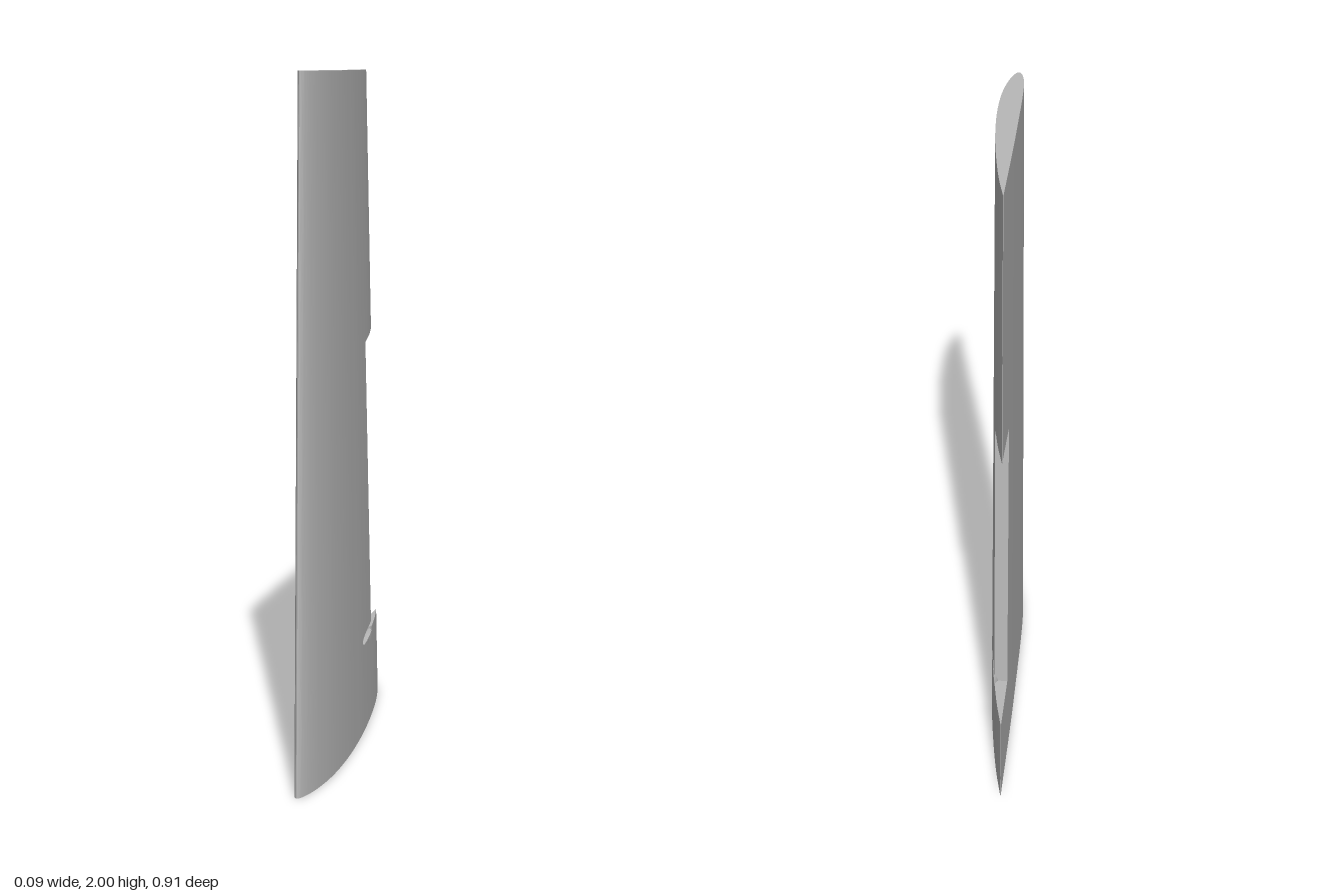
import * as THREE from 'three';
import { mergeGeometries, toCreasedNormals } from 'three/addons/utils/BufferGeometryUtils.js';

// Airfoil profile: chord fraction, then the x of each side at the root
const CHORD = [0, 0.0165, 0.05, 0.1, 0.2, 0.3, 0.4, 0.5, 0.6, 0.775, 0.9, 1];
const CURVED = [0, 0.013, 0.024, 0.034, 0.044, 0.0455, 0.042, 0.0345, 0.0245, 0, -0.022, -0.0445];
const FLAT = [0, -0.012, -0.021, -0.028, -0.033, -0.036, -0.038, -0.04, -0.042, -0.044, -0.045, -0.046];
const knots = Float32Array.from(CHORD, Math.sqrt);
const curved = new THREE.CubicInterpolant(knots, new Float32Array(CURVED), 1);
const flat = new THREE.CubicInterpolant(knots, new Float32Array(FLAT), 1);

// Planform lines
const leadZ = (y) => 0.455 - 0.0275 * y;
const trailZ = (y) => -0.453 + 0.0865 * y;
const hingeZ = (y) => -0.268 + 0.082 * y;
const NOTCH_LOW = 0.285, NOTCH_HIGH = 1.2, SPAN = 2;

// Cable groove running fore and aft through the curved skin
const GROOVE = { x: 0.005, y: 0.288, r: 0.018 };

function skinX(y, z, side) {
  const chord = leadZ(y) - trailZ(y);
  const t = THREE.MathUtils.clamp((leadZ(y) - z) / chord, 0, 1);
  const x = (side > 0 ? curved : flat).evaluate(Math.sqrt(t))[0] * chord / 0.908;
  const dy = Math.abs(y - GROOVE.y);
  if (side > 0 && dy < GROOVE.r && z < 0 && z > hingeZ(y) - 1e-6) {
    const h = Math.sqrt(GROOVE.r ** 2 - dy ** 2);
    if (x < GROOVE.x + h) return Math.min(x, GROOVE.x - h);
  }
  return x;
}

const point = (y, z, side) => [skinX(y, z, side), y, z];

// Surface through rows of points
function grid(rows) {
  const n = rows[0].length, index = [];
  for (let j = 0; j < rows.length - 1; j++) {
    for (let i = 0; i < n - 1; i++) {
      const a = j * n + i, b = a + 1, c = b + n, d = a + n;
      index.push(a, b, c, a, c, d);
    }
  }
  const g = new THREE.BufferGeometry();
  g.setAttribute('position', new THREE.Float32BufferAttribute(rows.flat(2), 3));
  g.setIndex(index);
  return g;
}

// One spanwise row of the front part, from nose to hinge line
const FRONT_STEPS = 90, REAR_STEPS = 12;
function frontRow(y, side) {
  return Array.from({ length: FRONT_STEPS + 1 }, (_, i) =>
    point(y, THREE.MathUtils.lerp(leadZ(y), hingeZ(y), (i / FRONT_STEPS) ** 1.5), side));
}

// One row of the rear part, from hinge line to trailing edge; the end may rise
function rearRow(y, side, rise = 0) {
  return Array.from({ length: REAR_STEPS + 1 }, (_, i) => {
    const u = i / REAR_STEPS, yy = y + rise * u;
    return point(yy, THREE.MathUtils.lerp(hingeZ(yy), trailZ(yy), u), side);
  });
}

// Spanwise stations, closer together around the groove
function stations() {
  const ys = [0, 0.1, 0.2, 0.25, NOTCH_LOW, 0.33];
  for (let i = 0; i <= 16; i++) ys.push(GROOVE.y - GROOVE.r * Math.cos(Math.PI * i / 16));
  for (let i = 1; i <= 6; i++) ys.push(0.33 + (NOTCH_HIGH - 0.33) * i / 6);
  for (let i = 1; i <= 6; i++) ys.push(NOTCH_HIGH + (SPAN - NOTCH_HIGH) * i / 6);
  return ys.sort((a, b) => a - b);
}

export function createModel() {
  const group = new THREE.Group();
  const grey = new THREE.MeshStandardMaterial({ color: 0xb8b8b8 });
  grey.name = 'wingGrey';
  const add = (name, parts, crease = 0.5) => {
    const mesh = new THREE.Mesh(toCreasedNormals(mergeGeometries(parts), crease), grey);
    mesh.name = name;
    group.add(mesh);
  };

  const ys = stations();
  const lowYs = ys.filter((y) => y <= NOTCH_LOW);
  const midYs = ys.filter((y) => y >= NOTCH_LOW && y <= NOTCH_HIGH + 1e-9);
  const highYs = ys.filter((y) => y >= NOTCH_HIGH - 1e-9);
  const rise = (y) => 0.015 * (SPAN - y) / (SPAN - NOTCH_HIGH);

  // Outer skin: front wraps round the nose, rear panels lie above and below the notch
  const skin = [grid(ys.map((y) => [...frontRow(y, -1).reverse(), ...frontRow(y, 1).slice(1)]))];
  const edges = [];
  for (const [list, lift] of [[lowYs, () => 0], [highYs, rise]]) {
    const upper = list.map((y) => rearRow(y, 1, lift(y)));
    const lower = list.map((y) => rearRow(y, -1, lift(y)));
    skin.push(grid(upper), grid(lower.map((row) => [...row].reverse())));
    edges.push(grid(upper.map((row, j) => [row.at(-1), lower[j].at(-1)])));
  }
  add('wingSkin', skin);
  add('trailingEdges', edges);

  // Walls of the control surface notch
  add('notchWalls', [
    grid(midYs.map((y) => [point(y, hingeZ(y), 1), point(y, hingeZ(y), -1)])),
    grid([rearRow(NOTCH_LOW, 1), rearRow(NOTCH_LOW, -1)]),
    grid([rearRow(NOTCH_HIGH, -1, 0.015), rearRow(NOTCH_HIGH, 1, 0.015)]),
  ]);

  // Flat tip
  add('tipFace', [
    grid([frontRow(SPAN, 1), frontRow(SPAN, -1)]),
    grid([rearRow(SPAN, 1), rearRow(SPAN, -1)]),
  ]);

  // Flat root with a round cable hole
  const hole = { x: 0.005, z: 0.13, r: 0.01, depth: 0.28 };
  const outline = [
    ...frontRow(0, 1), ...rearRow(0, 1).slice(1),
    ...rearRow(0, -1).reverse(), ...frontRow(0, -1).reverse().slice(1, -1),
  ].map(([x, , z]) => new THREE.Vector2(x, z));
  const shape = new THREE.Shape(outline);
  shape.holes.push(new THREE.Path().absarc(hole.x, hole.z, hole.r, 0, Math.PI * 2, true));
  add('rootFace', [new THREE.ShapeGeometry(shape, 12).rotateX(Math.PI / 2)]);

  // Inside of the cable hole, turned to face inward
  const tube = new THREE.CylinderGeometry(hole.r, hole.r, hole.depth, 24, 1, true);
  tube.setIndex(Array.from(tube.index.array).reverse());
  tube.translate(hole.x, hole.depth / 2, hole.z);
  add('cableTunnel', [tube]);

  return group;
}
